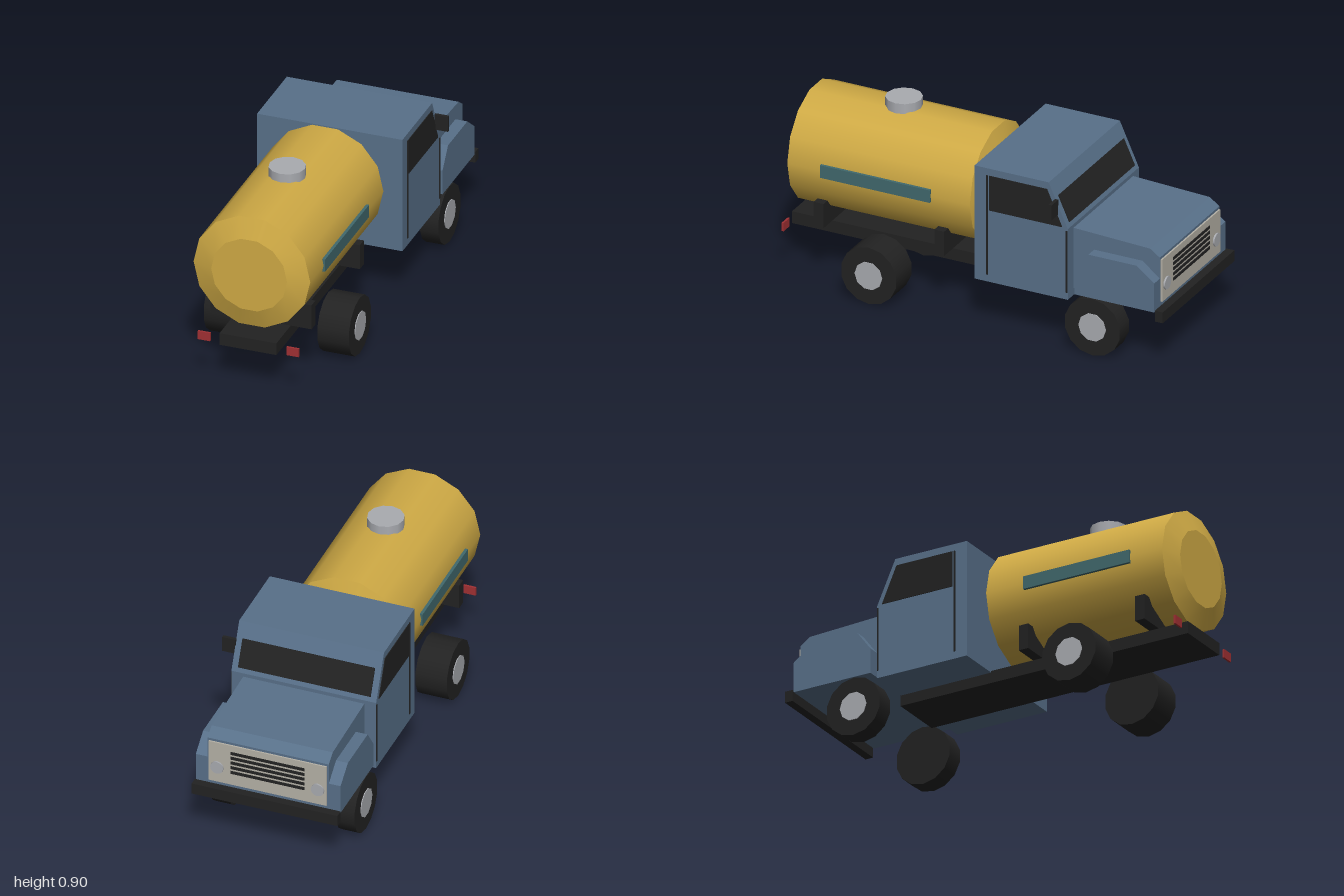
import * as THREE from 'three';

const flat = (color) => new THREE.MeshStandardMaterial({ color });
const named = (name, color) => Object.assign(flat(color), { name });

export function createModel() {
  const blue = named('blue paint', 0x587089);
  const yellow = named('tank yellow', 0xcfaa45);
  const black = named('black', 0x222222);
  const grey = named('light metal', 0xa9abb0);
  const red = named('tail light red', 0xa03033);
  const teal = named('teal stripe', 0x41696d);
  const cream = named('grille cream', 0xb5b1a6);

  const root = new THREE.Group();
  root.name = 'tankerTruck';
  // Truck is symmetric about its own axis; the single mirror shifts that axis
  const truck = new THREE.Group();
  truck.name = 'truck';
  truck.position.x = -0.032;
  root.add(truck);

  const add = (name, geometry, material, x = 0, y = 0, z = 0) => {
    const mesh = new THREE.Mesh(geometry, material);
    mesh.name = name;
    mesh.position.set(x, y, z);
    truck.add(mesh);
    return mesh;
  };
  // Box given by centre x, width, and ranges in y and z
  const box = (name, material, x, w, y0, y1, z0, z1) =>
    add(name, new THREE.BoxGeometry(w, y1 - y0, z1 - z0), material, x, (y0 + y1) / 2, (z0 + z1) / 2);
  // Side profile of [forward, up] points, extruded across x
  const profile = (name, material, points, w, x = 0) => {
    const shape = new THREE.Shape(points.map(([u, y]) => new THREE.Vector2(u, y)));
    const g = new THREE.ExtrudeGeometry(shape, { depth: w, bevelEnabled: false });
    g.translate(0, 0, -w / 2);
    g.rotateY(Math.PI / 2);
    return add(name, g, material, x);
  };

  // Chassis and bumper
  box('chassis', black, 0, 0.276, 0.2, 0.26, -0.52, 1.0);
  box('frontBumper', black, 0, 0.71, 0.245, 0.3, -1.0, -0.96);

  // Cab and hood
  profile('cab', blue, [[0.04, 0.252], [0.515, 0.252], [0.515, 0.61], [0.418, 0.825], [0.04, 0.825]], 0.705);
  profile('hood', blue, [[0.51, 0.288], [0.955, 0.288], [0.955, 0.54], [0.905, 0.575], [0.51, 0.592]], 0.59);

  // Windscreen lying on the sloped cab front
  const lean = Math.atan2(0.097, 0.215);
  const screen = add('windscreen', new THREE.BoxGeometry(0.645, 0.135, 0.009), black, 0, 0.693, -0.479);
  screen.rotation.x = lean;

  for (const s of [-1, 1]) {
    // Fenders, door windows and door seams
    profile('fender', blue, [[0.55, 0.288], [0.955, 0.288], [0.955, 0.435], [0.865, 0.505], [0.62, 0.505], [0.55, 0.41]],
      0.0595, s * 0.3228);
    profile('doorWindow', black, [[0.115, 0.615], [0.487, 0.615], [0.41, 0.79], [0.115, 0.79]], 0.006, s * 0.353);
    box('rearDoorSeam', black, s * 0.353, 0.006, 0.288, 0.79, -0.109, -0.101);
    box('frontDoorSeam', black, s * 0.353, 0.006, 0.288, 0.6, -0.514, -0.506);

    // Headlights
    const lamp = add('headlight', new THREE.CylinderGeometry(0.032, 0.032, 0.012, 12), grey, s * 0.245, 0.395, -0.965);
    lamp.rotation.x = Math.PI / 2;

    // Tail lights and tank stripes
    box('tailLight', red, s * 0.215, 0.06, 0.208, 0.25, 0.988, 0.998);
    box('tankStripe', teal, s * 0.279, 0.022, 0.547, 0.61, 0.22, 0.78);

    // Wheels, wider at the rear
    for (const [label, z, w] of [['front', -0.64, 0.09], ['rear', 0.5, 0.153]]) {
      const tyreGeo = new THREE.CylinderGeometry(0.143, 0.143, w, 14);
      tyreGeo.rotateY(Math.PI / 2);
      tyreGeo.rotateZ(Math.PI / 2);
      add(label + 'Tyre', tyreGeo, black, s * (0.352 - w / 2), 0.142, z);
      const hubGeo = new THREE.CylinderGeometry(0.07, 0.07, 0.008, 10);
      hubGeo.rotateZ(Math.PI / 2);
      add(label + 'Hub', hubGeo, grey, s * 0.352, 0.142, z);
    }
  }

  // Grille with dark slots
  box('grille', cream, 0, 0.575, 0.315, 0.528, -0.963, -0.953);
  for (let i = 0; i < 5; i++) {
    const y = 0.377 + i * 0.026;
    box('grilleSlot', black, 0, 0.36, y, y + 0.014, -0.967, -0.96);
  }

  // Tank: barrel and two tapered ends
  const tankPart = (name, rBack, rFront, z0, z1, open) => {
    const g = new THREE.CylinderGeometry(rBack, rFront, z1 - z0, 14, 1, open);
    g.rotateY(Math.PI / 2);
    g.rotateX(Math.PI / 2);
    add(name, g, yellow, 0, 0.578, (z0 + z1) / 2);
  };
  tankPart('tankBarrel', 0.283, 0.283, 0.02, 0.95, true);
  tankPart('tankRearEnd', 0.184, 0.283, 0.95, 0.986, false);
  tankPart('tankFrontEnd', 0.283, 0.184, -0.014, 0.02, false);

  // Hatch and saddles
  add('tankHatch', new THREE.CylinderGeometry(0.086, 0.086, 0.05, 12), grey, 0, 0.872, 0.5);
  for (const z of [0.195, 0.81]) box('tankSaddle', black, 0, 0.49, 0.27, 0.393, z - 0.025, z + 0.025);

  // Single side mirror
  box('sideMirror', black, 0.384, 0.066, 0.672, 0.748, -0.466, -0.45);

  return root;
}
